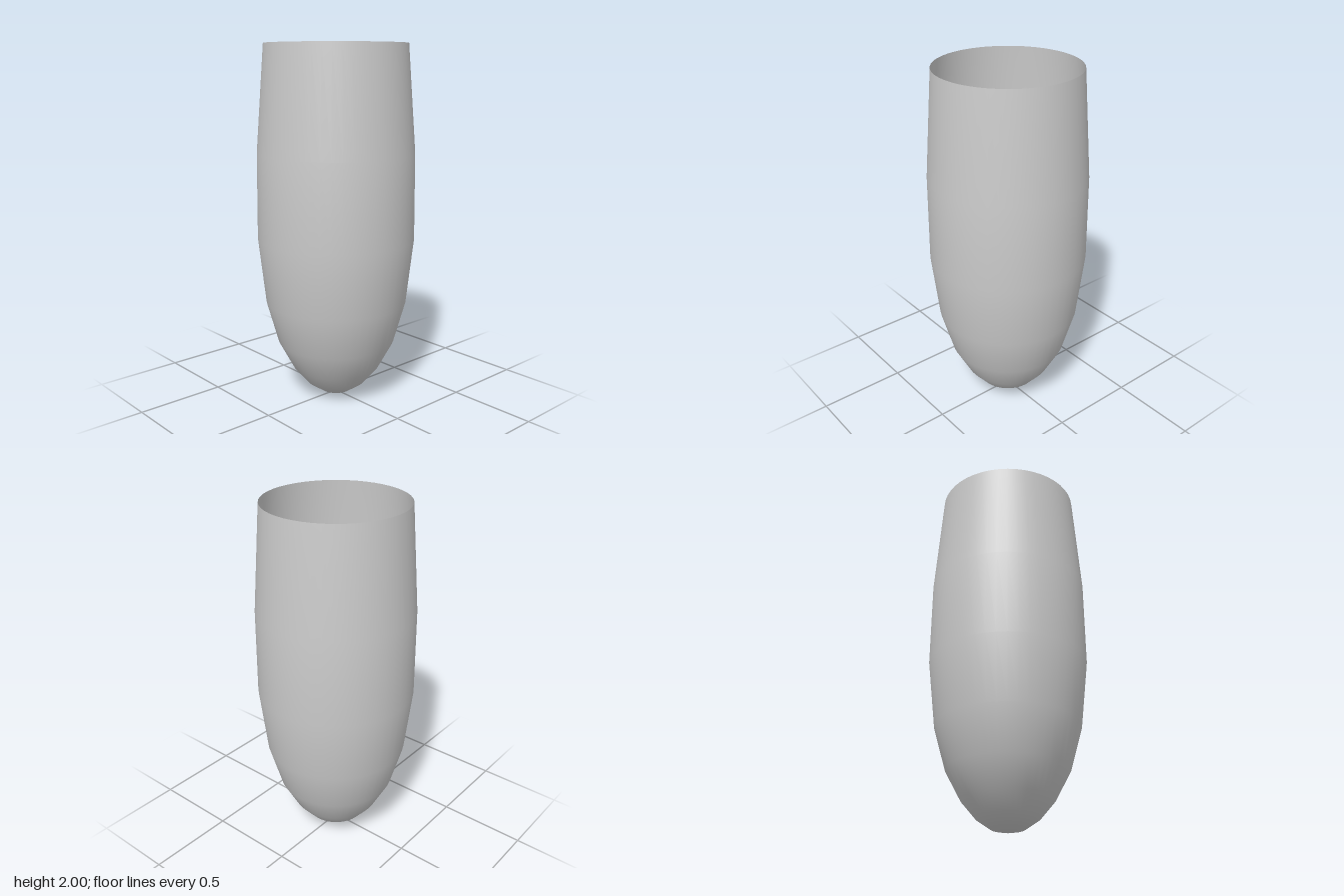
import * as THREE from 'three';

export function createModel() {
  const group = new THREE.Group();
  group.name = 'openVase';

  // Thin open shell: rounded tip, widest at the middle, slightly tapered rim
  const profile = [
    [0, 0], [0.09, 0.02], [0.17, 0.075], [0.25, 0.17], [0.333, 0.325],
    [0.4, 0.565], [0.441, 0.93], [0.437, 1.41], [0.392, 2],
  ].map(([r, y]) => new THREE.Vector2(r, y));

  const shell = new THREE.Mesh(
    new THREE.LatheGeometry(profile, 48),
    new THREE.MeshStandardMaterial({ color: 0xcccccc, side: THREE.DoubleSide })
  );
  shell.name = 'shell';
  group.add(shell);
  return group;
}
